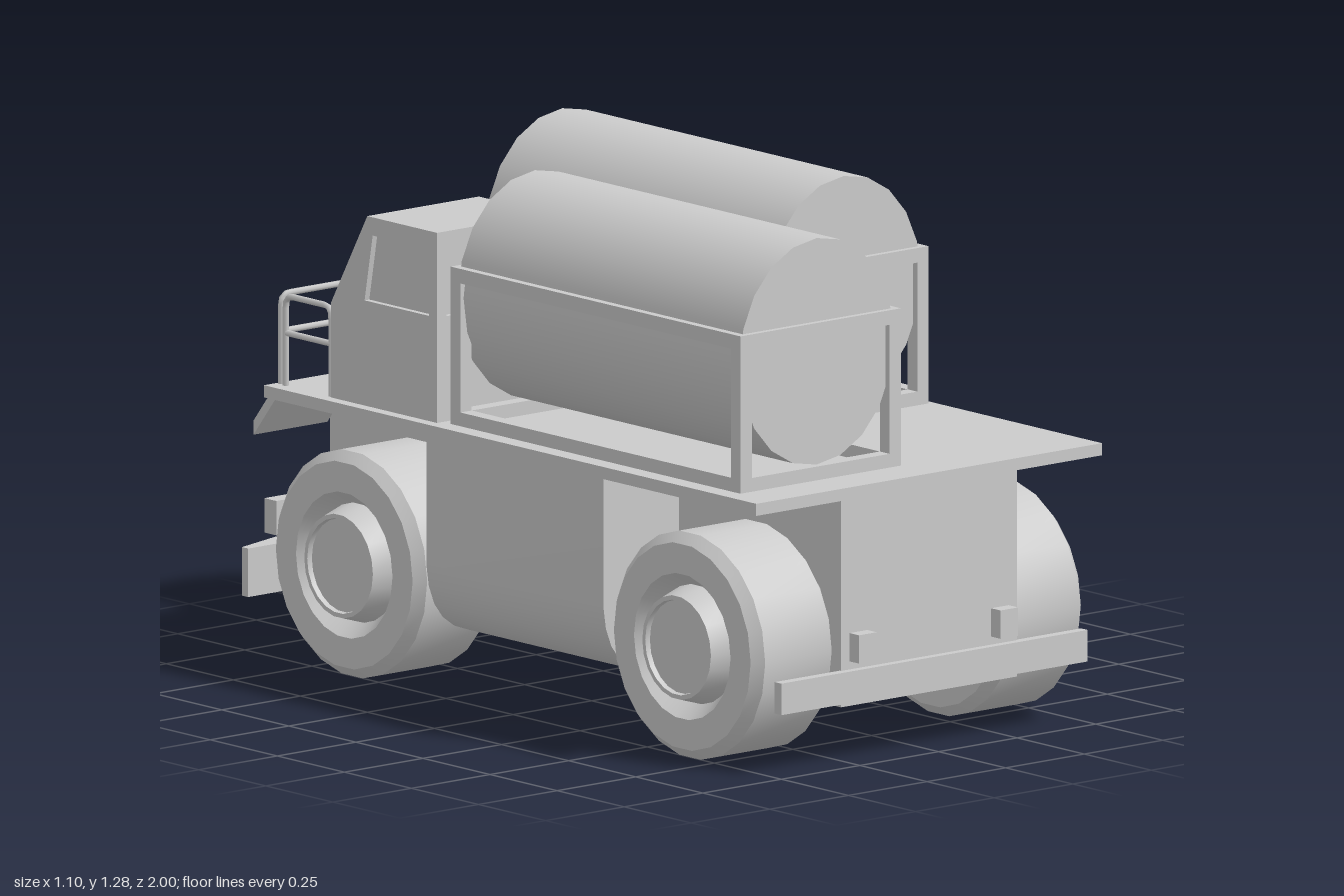
import * as THREE from 'three';
import { toCreasedNormals } from 'three/addons/utils/BufferGeometryUtils.js';

const material = new THREE.MeshStandardMaterial({ color: 0xcccccc });

function add(parent, name, geometry) {
  const mesh = new THREE.Mesh(geometry, material);
  mesh.name = name;
  parent.add(mesh);
  return mesh;
}

function group(parent, name) {
  const g = new THREE.Group();
  g.name = name;
  parent.add(g);
  return g;
}

// Box given by its extents on each axis
function block(parent, name, x0, x1, y0, y1, z0, z1) {
  const geo = new THREE.BoxGeometry(x1 - x0, y1 - y0, z1 - z0);
  geo.translate((x0 + x1) / 2, (y0 + y1) / 2, (z0 + z1) / 2);
  return add(parent, name, geo);
}

const polygon = pts => new THREE.Shape(pts.map(p => new THREE.Vector2(...p)));
const rect = (x0, y0, x1, y1) => polygon([[x0, y0], [x1, y0], [x1, y1], [x0, y1]]);
const extrude = (shape, depth) =>
  new THREE.ExtrudeGeometry(shape, { depth, bevelEnabled: false, curveSegments: 6 });

// Profile drawn in (z, y), spanning x0 to x1
function sideExtrude(shape, x0, x1) {
  return extrude(shape, x1 - x0).rotateY(-Math.PI / 2).translate(x1, 0, 0);
}

function pipe(parent, name, points, radius = 0.008) {
  const path = new THREE.CurvePath();
  const v = points.map(p => new THREE.Vector3(...p));
  // straight runs joined by small rounded bends
  let start = v[0];
  for (let i = 1; i < v.length - 1; i++) {
    const a = v[i].clone().add(v[i - 1].clone().sub(v[i]).setLength(0.025));
    const b = v[i].clone().add(v[i + 1].clone().sub(v[i]).setLength(0.025));
    path.add(new THREE.LineCurve3(start, a));
    path.add(new THREE.QuadraticBezierCurve3(a, v[i], b));
    start = b;
  }
  path.add(new THREE.LineCurve3(start, v[v.length - 1]));
  return add(parent, name, new THREE.TubeGeometry(path, v.length > 2 ? 40 : 1, radius, 6));
}

function addRailing(parent, name, a, b) {
  const g = group(parent, name);
  const at = (p, y) => [p[0], y, p[1]];
  pipe(g, 'hoop', [at(a, 0.68), at(a, 0.907), at(b, 0.907), at(b, 0.68)]);
  pipe(g, 'midRail', [at(a, 0.815), at(b, 0.815)]);
}

// Elliptical tank held in an open box frame
function addTank(parent, name, x0, x1, z0, z1) {
  const g = group(parent, name);
  const y0 = 0.683, y1 = 1.074, t = 0.036;
  const barrel = new THREE.CylinderGeometry(1, 1, z1 - z0 - 0.03, 20);
  barrel.rotateX(Math.PI / 2).scale(0.245, 0.28, 1);
  barrel.translate((x0 + x1) / 2, 1.0, (z0 + z1) / 2);
  add(g, 'barrel', barrel);
  for (const x of [x0, x1 - t]) {
    for (const z of [z0, z1 - t]) block(g, 'framePost', x, x + t, y0, y1, z, z + t);
    for (const y of [y0, y1 - t]) block(g, 'frameSideRail', x, x + t, y, y + t, z0 + t, z1 - t);
  }
  for (const z of [z0, z1 - t])
    for (const y of [y0, y1 - t]) block(g, 'frameEndRail', x0 + t, x1 - t, y, y + t, z, z + t);
}

function addWheels(parent) {
  const profile = [[0, 0.265], [0.255, 0.265], [0.28, 0.29], [0.28, 0.50], [0.255, 0.525],
    [0.18, 0.525], [0.147, 0.48], [0.128, 0.543], [0.117, 0.543], [0.115, 0.53], [0, 0.53]];
  const lathe = new THREE.LatheGeometry(profile.map(p => new THREE.Vector2(...p)), 22);
  const geo = toCreasedNormals(lathe.rotateZ(-Math.PI / 2), 0.6);
  for (const z of [0.66, -0.6])
    for (const turn of [0, Math.PI]) {
      const wheel = add(parent, 'wheel', geo);
      wheel.position.set(0, 0.28, z);
      wheel.rotation.y = turn;
    }
}

function addCab(parent) {
  const cab = group(parent, 'cab');
  const x0 = -0.52, x1 = -0.165, sill = 0.92, roof = 1.155;
  block(cab, 'cabLower', x0, x1, 0.683, sill, -0.655, -0.26);
  block(cab, 'cabRoof', x0 + 0.02, x1 - 0.02, roof - 0.02, roof, -0.515, -0.26);
  // side walls with a window each
  const side = polygon([[-0.655, sill], [-0.26, sill], [-0.26, roof], [-0.52, roof]]);
  side.holes.push(polygon([[-0.53, 0.945], [-0.29, 0.945], [-0.29, 1.11], [-0.5, 1.11]]));
  for (const x of [x0, x1 - 0.02]) add(cab, 'cabSide', sideExtrude(side, x, x + 0.02));
  // sloping windscreen surround and upright rear window surround
  const w = x1 - x0;
  const surround = h => {
    const s = rect(0, 0, w, h);
    s.holes.push(rect(0.03, 0.025, w - 0.03, h - 0.03));
    return extrude(s, 0.02);
  };
  const screen = surround(Math.hypot(0.135, roof - sill));
  add(cab, 'windscreenFrame', screen.rotateX(Math.atan2(0.135, roof - sill)).translate(x0, sill, -0.655));
  add(cab, 'rearWindowFrame', surround(roof - sill).translate(x0, sill, -0.28));
  const glass = polygon([[-0.637, sill], [-0.275, sill], [-0.275, 1.14], [-0.511, 1.14]]);
  add(cab, 'cabGlass', sideExtrude(glass, x0 + 0.015, x1 - 0.015));
}

function addLadder(parent) {
  const ladder = group(parent, 'ladder');
  for (const x of [0.108, 0.256])
    pipe(ladder, 'ladderRail', [[x, 0.26, -0.972], [x, 0.66, -0.972], [x, 0.70, -0.935]], 0.009);
  for (let i = 0; i < 5; i++)
    block(ladder, 'rung', 0.108, 0.256, 0.27 + i * 0.085, 0.29 + i * 0.085, -0.982, -0.955);
}

export function createModel() {
  const model = new THREE.Group();
  model.name = 'tankTruck';

  // Hull: narrow spine plus a wide belly between the axles with rounded lower edges
  block(model, 'hull', -0.28, 0.28, 0.145, 0.656, -0.94, 0.965);
  const belly = new THREE.Shape();
  belly.moveTo(-0.52, 0.656);
  belly.lineTo(-0.52, 0.33);
  belly.quadraticCurveTo(-0.51, 0.147, -0.33, 0.143);
  belly.lineTo(0.33, 0.143);
  belly.quadraticCurveTo(0.51, 0.147, 0.52, 0.33);
  belly.lineTo(0.52, 0.656);
  add(model, 'belly', toCreasedNormals(extrude(belly, 0.66), 0.6)).position.z = -0.3;

  // Deck and the cover over the engine
  block(model, 'deck', -0.55, 0.55, 0.655, 0.685, -0.87, 0.965);
  block(model, 'engineCover', -0.28, 0.28, 0.655, 0.685, -0.94, -0.87);

  // Sloping fenders at the engine end
  const fender = polygon([[-0.865, 0.685], [-0.95, 0.58], [-0.95, 0.545], [-0.865, 0.65]]);
  for (const x of [-0.515, 0.28]) add(model, 'fender', sideExtrude(fender, x, x + 0.235));

  // Raised radiator surround
  const surround = rect(-0.27, 0.255, 0.095, 0.655);
  surround.holes.push(rect(-0.255, 0.275, 0.08, 0.635));
  add(model, 'radiatorFrame', extrude(surround, 0.02)).position.z = -0.952;

  // Bumpers
  block(model, 'flatBumper', -0.487, 0.487, 0.157, 0.235, 0.96, 0.985);
  const plan = polygon([[-0.545, 0.935], [0.545, 0.935], [0.545, 0.958],
    [0.4, 1.0], [-0.4, 1.0], [-0.545, 0.958]]);
  const bumper = extrude(plan, 0.12).rotateX(-Math.PI / 2).translate(0, 0.15, 0);
  add(model, 'angledBumper', bumper);

  // Lamps on both ends
  for (const s of [-1, 1]) {
    const x = s * 0.225;
    block(model, 'smallLamp', x - 0.028, x + 0.028, 0.255, 0.325, 0.965, 1.0);
    const lx = s * 0.41;
    block(model, 'headlamp', lx - 0.075, lx + 0.075, 0.3, 0.385, -0.945, -0.9);
    pipe(model, 'headlampArm', [[s * 0.27, 0.335, -0.92], [s * 0.35, 0.335, -0.92]], 0.012);
  }

  addWheels(model);
  addTank(model, 'leftTank', 0.02, 0.534, -0.742, 0.337);
  addTank(model, 'rightTank', -0.502, 0.008, -0.23, 0.85);
  addCab(model);
  addLadder(model);
  addRailing(model, 'engineRailing', [-0.235, -0.932], [0.095, -0.932]);
  addRailing(model, 'cornerRailing', [-0.505, -0.858], [-0.275, -0.858]);
  addRailing(model, 'sideRailing', [-0.51, -0.835], [-0.51, -0.665]);

  // The angled bumper plan is drawn with y as distance along -z
  return model;
}
